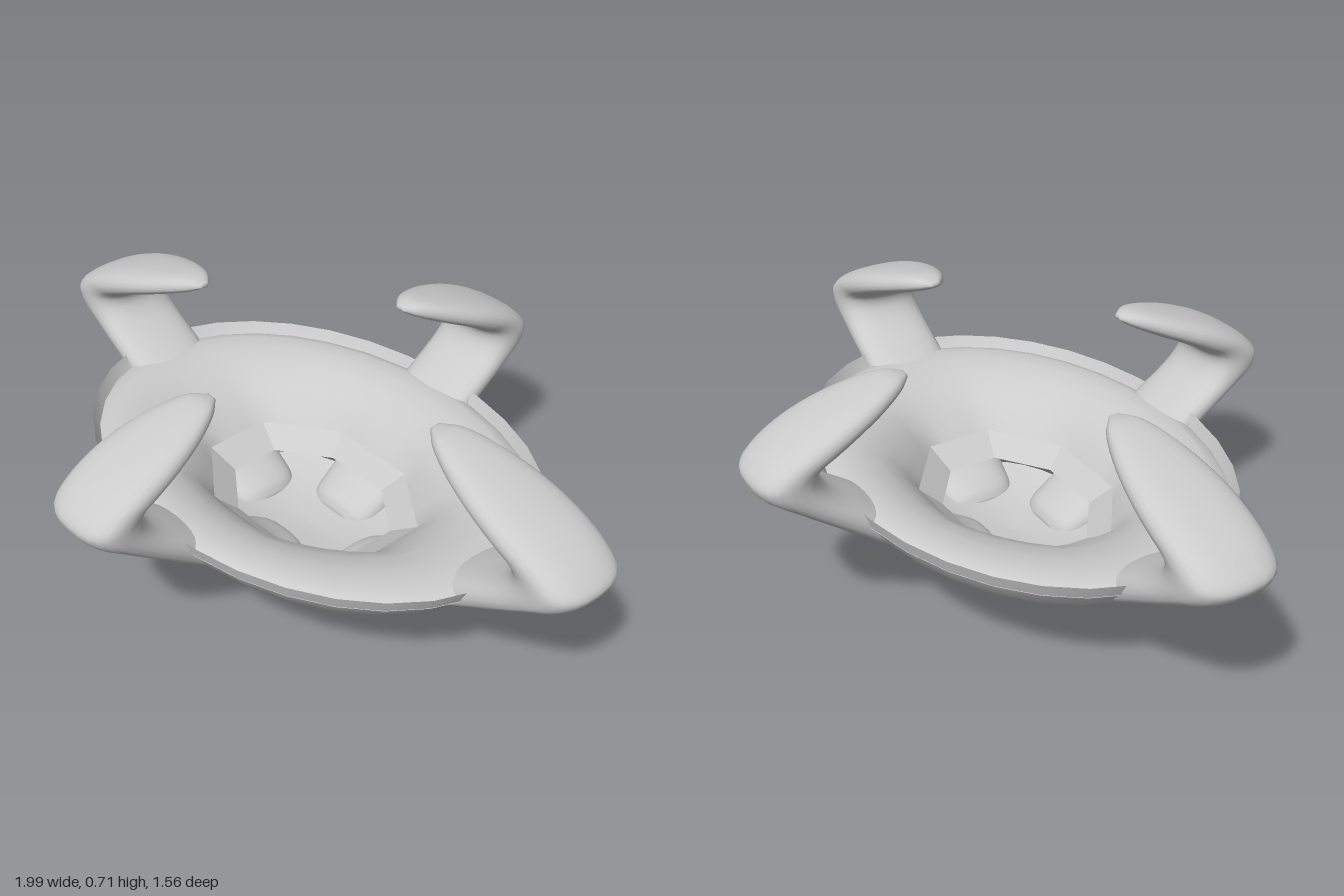
import * as THREE from 'three';

const SEG = 32;
const Z_SCALE = 0.72;

// Skins a list of closed loops (each an array of Vector3 of equal length).
function skin(loops) {
  const n = loops[0].length;
  const index = [];
  for (let i = 0; i < loops.length - 1; i++) {
    for (let j = 0; j < n; j++) {
      const a = i * n + j, b = i * n + (j + 1) % n;
      index.push(a, a + n, b, b, a + n, b + n);
    }
  }
  const g = new THREE.BufferGeometry().setFromPoints(loops.flat());
  g.setIndex(index);
  g.computeVertexNormals();
  return g;
}

function add(parent, name, geometry, flatShading = false) {
  const mesh = new THREE.Mesh(geometry, new THREE.MeshStandardMaterial({
    color: 0xcccccc, side: THREE.DoubleSide, flatShading,
  }));
  mesh.name = name;
  parent.add(mesh);
  return mesh;
}

// Oval revolve of [radius, height, octagon amount] points.
function oval(profile) {
  return skin(profile.map(([r, y, oct]) => {
    const loop = [];
    for (let j = 0; j < SEG; j++) {
      const a = j / SEG * Math.PI * 2;
      const step = Math.PI / 4;
      const local = a - Math.round(a / step) * step;
      const k = r * THREE.MathUtils.lerp(1, 1 / Math.cos(local), oct);
      loop.push(new THREE.Vector3(k * Math.cos(a), y, k * Math.sin(a) * Z_SCALE));
    }
    return loop;
  }));
}

// Arm stations: outer edge x, y, inner edge x, y, half width.
const ARM = [
  [0.17, 0.05, 0.16, 0.12, 0.07],
  [0.22, 0.04, 0.18, 0.15, 0.105],
  [0.32, 0.09, 0.25, 0.185, 0.12],
  [0.50, 0.195, 0.42, 0.28, 0.125],
  [0.72, 0.33, 0.63, 0.395, 0.125],
  [0.90, 0.44, 0.75, 0.465, 0.125],
  [0.98, 0.49, 0.785, 0.51, 0.125],
  [0.997, 0.525, 0.785, 0.54, 0.125],
  [0.96, 0.565, 0.765, 0.56, 0.125],
  [0.87, 0.615, 0.72, 0.58, 0.125],
  [0.75, 0.66, 0.65, 0.61, 0.115],
  [0.60, 0.70, 0.56, 0.645, 0.085],
  [0.51, 0.715, 0.49, 0.675, 0.05],
  [0.46, 0.708, 0.455, 0.695, 0.015],
];

function armGeometry(reach) {
  const outer = new THREE.CatmullRomCurve3(ARM.map((s) => new THREE.Vector3(reach(s[0]), s[1], s[4])));
  const inner = new THREE.CatmullRomCurve3(ARM.map((s) => new THREE.Vector3(reach(s[2]), s[3], 0)));
  const soft = (v) => Math.sign(v) * Math.abs(v) ** 0.8;
  const section = (t, scale) => {
    const o = outer.getPoint(t), i = inner.getPoint(t);
    const loop = [];
    for (let j = 0; j < 24; j++) {
      const a = j / 24 * Math.PI * 2;
      const c = soft(Math.cos(a)) * scale / 2, s = soft(Math.sin(a)) * scale;
      loop.push(new THREE.Vector3(
        (o.x + i.x) / 2 + (o.x - i.x) * c,
        (o.y + i.y) / 2 + (o.y - i.y) * c,
        o.z * s,
      ));
    }
    return loop;
  };
  const loops = [section(0, 0.001)];
  for (let k = 0; k <= 52; k++) loops.push(section(k / 52, 1));
  loops.push(section(1, 0.001));
  return skin(loops);
}

export function createModel() {
  const model = new THREE.Group();
  model.name = 'fourArmedBowl';

  // Oval ring: rounded top, curved outside, flat underside, octagonal opening
  const ring = new THREE.Group();
  ring.name = 'ring';
  model.add(ring);
  add(ring, 'ringTop', oval([
    [0.33, 0.25, 1], [0.37, 0.29, 0.7], [0.43, 0.335, 0.3], [0.50, 0.367, 0.1],
    [0.58, 0.385, 0], [0.65, 0.387, 0], [0.69, 0.377, 0], [0.715, 0.362, 0],
  ]));
  add(ring, 'ringRim', oval([[0.713, 0.36, 0], [0.73, 0.4, 0]]));
  add(ring, 'ringOutside', oval([
    [0.73, 0.4, 0], [0.70, 0.35, 0], [0.65, 0.296, 0], [0.58, 0.25, 0],
    [0.48, 0.217, 0.3], [0.35, 0.2, 1],
  ]));
  add(ring, 'ringUnderside', oval([[0.35, 0.2, 1], [0.25, 0.2, 1]]));
  add(ring, 'ringOpening', oval([[0.25, 0.2, 1], [0.33, 0.25, 1]]), true);

  // Small cup below the ring opening
  const cup = new THREE.Group();
  cup.name = 'cup';
  model.add(cup);
  add(cup, 'cupInside', oval([[0.001, 0.11, 0], [0.12, 0.115, 0], [0.23, 0.13, 0], [0.32, 0.16, 0]]));
  add(cup, 'cupOutside', oval([
    [0.32, 0.16, 0], [0.295, 0.12, 0], [0.25, 0.073, 0.2], [0.20, 0.033, 0.6], [0.15, 0, 1],
  ]));
  add(cup, 'cupBase', oval([[0.15, 0, 1], [0.001, 0, 1]]));

  // Four bent arms, the front and back pair with a shorter reach
  const longArm = armGeometry((x) => x);
  const shortArm = armGeometry((x) => x * 0.83 - 0.05);
  ['leftArm', 'backArm', 'rightArm', 'frontArm'].forEach((name, i) => {
    add(model, name, i % 2 ? shortArm : longArm).rotation.y = i * Math.PI / 2;
  });

  return model;
}
